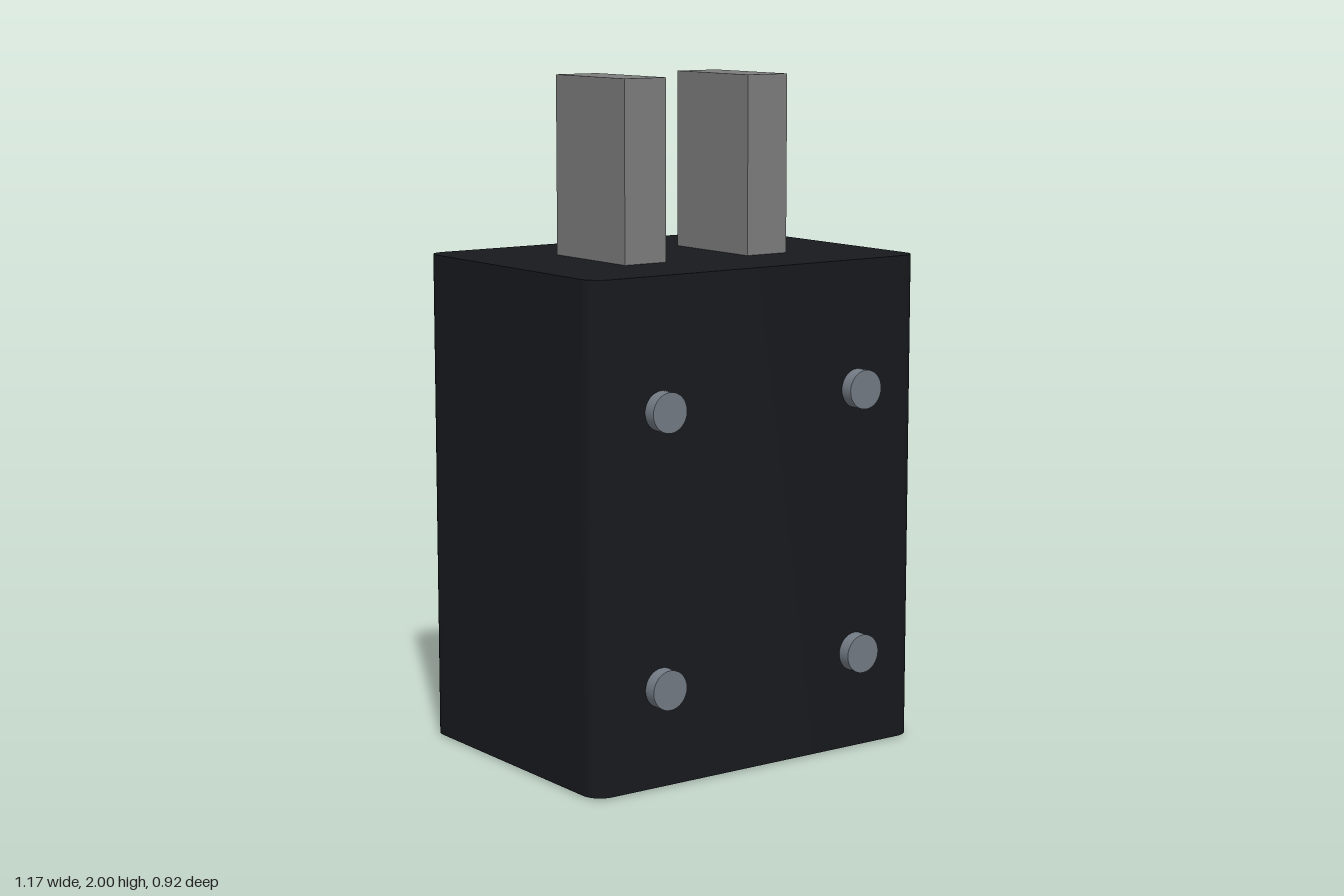
import * as THREE from 'three';
import { toCreasedNormals } from 'three/addons/utils/BufferGeometryUtils.js';

const W = 1.17, D = 0.88, TOP = 1.47, BASE = 0.004, R = 0.06, ZC = -0.02;

const paint = (color) => new THREE.MeshStandardMaterial({ color });

function add(group, name, geometry, material, x, y, z) {
  const mesh = new THREE.Mesh(geometry, material);
  mesh.name = name;
  mesh.position.set(x, y, z);
  group.add(mesh);
  return mesh;
}

// Rounded rectangle centred on the origin
function roundedRect(w, d, r) {
  const x = w / 2, y = d / 2, s = new THREE.Shape();
  s.absarc(x - r, y - r, r, 0, Math.PI / 2);
  s.absarc(-x + r, y - r, r, Math.PI / 2, Math.PI);
  s.absarc(-x + r, -y + r, r, Math.PI, Math.PI * 1.5);
  s.absarc(x - r, -y + r, r, Math.PI * 1.5, Math.PI * 2);
  s.closePath();
  return s;
}

export function createModel() {
  const model = new THREE.Group();
  model.name = 'powerPlug';

  // Housing: rounded vertical edges, crisp top and bottom
  const housing = new THREE.ExtrudeGeometry(roundedRect(W, D, R), {
    depth: TOP - BASE, bevelEnabled: false, curveSegments: 10,
  });
  housing.rotateX(-Math.PI / 2);
  add(model, 'housing', toCreasedNormals(housing, 0.6), paint(0x17191d), 0, BASE, ZC);

  const metal = paint(0x7c7c7c), steel = paint(0x727a84), rubber = paint(0x2a2a2a);
  const blade = new THREE.BoxGeometry(0.145, 2 - TOP, 0.35);
  const screw = new THREE.CylinderGeometry(0.058, 0.058, 0.05, 32).rotateX(Math.PI / 2);
  const foot = new THREE.CylinderGeometry(0.058, 0.058, 0.02, 32);

  for (const [side, label] of [[1, 'left'], [-1, 'right']]) {
    // Contact blades
    add(model, label + 'Blade', blade, metal, side * 0.22, (2 + TOP) / 2, ZC);

    // Screw heads on the front face
    for (const y of [0.295, 1.09]) add(model, label + 'Screw', screw, steel, side * 0.353, y, 0.435);

    // Low feet under the housing
    for (const z of [-0.26, 0.26]) add(model, label + 'Foot', foot, rubber, side * 0.405, 0.01, ZC + z);
  }
  return model;
}
